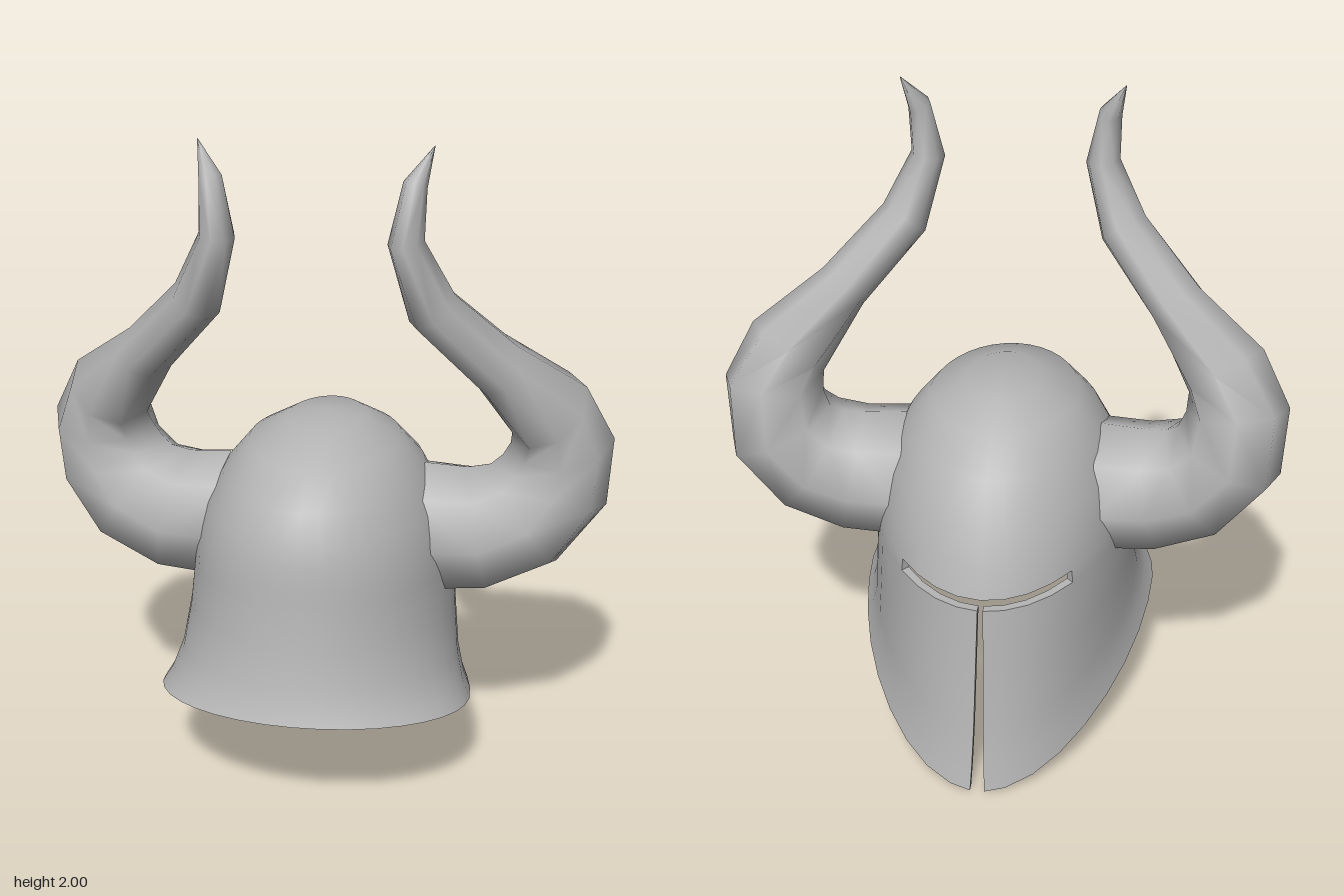
import * as THREE from 'three';
import { toCreasedNormals } from 'three/addons/utils/BufferGeometryUtils.js';

const steel = new THREE.MeshStandardMaterial({ color: 0xb4b4b4 });
steel.name = 'grey steel';

function makeMesh(name, positions, index, crease) {
  const geo = new THREE.BufferGeometry();
  geo.setAttribute('position', new THREE.Float32BufferAttribute(positions, 3));
  geo.setIndex(index);
  const mesh = new THREE.Mesh(toCreasedNormals(geo, crease), steel);
  mesh.name = name;
  return mesh;
}

// Helmet rings, crown to rim: y at nape, y at face, z at nape, z at face, half width, z of widest point
const RINGS = [
  [1.135, 1.135, 0, 0, 0, 0],
  [1.12, 1.12, 0.18, -0.16, 0.12, 0],
  [1.06, 1.06, 0.37, -0.27, 0.235, 0.02],
  [0.97, 0.97, 0.465, -0.385, 0.31, 0.02],
  [0.88, 0.84, 0.51, -0.46, 0.365, 0.02],
  [0.82, 0.74, 0.525, -0.505, 0.388, 0.02],
  [0.76, 0.645, 0.535, -0.535, 0.403, 0.03],
  [0.71, 0.61, 0.54, -0.54, 0.408, 0.03],
  [0.57, 0.42, 0.56, -0.56, 0.42, 0.06],
  [0.46, 0.2, 0.585, -0.59, 0.437, 0.12],
  [0.39, 0.08, 0.607, -0.612, 0.462, 0.18],
  [0.355, 0, 0.622, -0.63, 0.487, 0.22],
];
const COLS = 36, SLIT_ROW = 6, SLIT_COLS = 4, THICK = 0.028;

// Point on the shell; inset 0 is the outer skin, THICK the inner one
function shellPoint(i, j, inset) {
  const [yB, yF, zB, zF, w, c] = RINGS[i];
  const a = (j / COLS) * Math.PI * 2, cos = Math.cos(a);
  const shrink = i === 0 ? 0 : inset;
  // The face half is slightly keeled, the nape half is round
  const unit = cos > 0 ? -Math.pow(cos, 1.14) : -cos;
  const z = c + unit * (cos > 0 ? c - zF - shrink : zB - shrink - c);
  let x = (w - shrink) * Math.sin(a);
  if (i > SLIT_ROW && j % COLS === 0) { // narrow gap down the face
    const g = 0.008 + 0.014 * (i - SLIT_ROW - 1) / 4;
    x = j === 0 ? g : -g;
  }
  // Rings drop gently along the sides, then steeply towards the chin
  const k = i === 0 ? 0 : (zB - shrink - z) / (zB - zF - 2 * shrink);
  const y = yB - (yB - yF) * (0.68 * k + 0.32 * Math.pow(k, 5));
  return [x, y - inset * Math.max(0, (y - 0.8) / 0.335), z];
}

function makeHelmet() {
  const positions = [], index = [], edges = new Map();
  const stride = COLS + 1, inner = RINGS.length * stride;
  for (const inset of [0, THICK])
    for (let i = 0; i < RINGS.length; i++)
      for (let j = 0; j <= COLS; j++) positions.push(...shellPoint(i, j, inset));
  // The ring closes above the face gap, and the crown is a single point
  const id = (i, j) => i === 0 ? 0 : i * stride + (i <= SLIT_ROW ? j % COLS : j);

  for (let i = 0; i < RINGS.length - 1; i++)
    for (let j = 0; j < COLS; j++) {
      if (i === SLIT_ROW && (j < SLIT_COLS || j >= COLS - SLIT_COLS)) continue; // eye slit
      const a = id(i, j), b = id(i, j + 1), c = id(i + 1, j + 1), d = id(i + 1, j);
      const loop = i === 0 ? [a, c, d] : [a, b, c, d];
      for (let n = 1; n < loop.length - 1; n++) {
        index.push(loop[0], loop[n], loop[n + 1]);
        index.push(loop[0] + inner, loop[n + 1] + inner, loop[n] + inner);
      }
      loop.forEach((p, n) => {
        const q = loop[(n + 1) % loop.length];
        edges.set(p + '_' + q, [p, q]);
      });
    }
  // Walls join both skins along the rim, slit and gap
  for (const [p, q] of edges.values())
    if (!edges.has(q + '_' + p))
      index.push(q, p, p + inner, q, p + inner, q + inner);
  return makeMesh('helmetShell', positions, index, 0.8);
}

// Horn sections from root to tip: x, y, z, radius front to back, radius across
const HORN = [
  [0.36, 0.77, 0.005, 0.24, 0.205],
  [0.48, 0.77, 0, 0.228, 0.2],
  [0.62, 0.82, -0.015, 0.212, 0.19],
  [0.71, 0.93, -0.035, 0.197, 0.178],
  [0.728, 1.065, -0.02, 0.178, 0.158],
  [0.685, 1.175, 0.02, 0.158, 0.135],
  [0.525, 1.345, 0.125, 0.135, 0.085],
  [0.345, 1.54, 0.24, 0.095, 0.078],
  [0.272, 1.74, 0.285, 0.078, 0.053],
  [0.293, 1.9, 0.262, 0.047, 0.035],
  [0.34, 2.0, 0.21, 0.001, 0.001],
];
const SIDES = 8;

function makeHorn(name, mirror) {
  const positions = [], index = [];
  const centres = HORN.map(s => new THREE.Vector3(s[0], s[1], s[2]));
  centres.forEach((centre, i) => {
    const ahead = centres[Math.min(i + 1, HORN.length - 1)];
    const behind = centres[Math.max(i - 1, 0)];
    const t = ahead.clone().sub(behind).normalize();
    if (i === 0) t.set(1, 0, 0);
    const u = new THREE.Vector3(0, 0, 1).addScaledVector(t, -t.z).normalize();
    const v = t.clone().cross(u);
    const [, , , ru, rv] = HORN[i];
    for (let j = 0; j < SIDES; j++) {
      const a = (j / SIDES) * Math.PI * 2;
      const p = centre.clone().addScaledVector(u, ru * Math.cos(a)).addScaledVector(v, rv * Math.sin(a));
      // The root follows the curve of the helmet side
      if (i === 0) p.x -= (p.y - 0.77) * 0.25 + p.z * p.z * 0.9;
      positions.push(p.x * mirror, p.y, p.z);
    }
  });
  const tri = (a, b, c) => mirror > 0 ? index.push(a, b, c) : index.push(a, c, b);
  for (let i = 0; i < HORN.length - 1; i++)
    for (let j = 0; j < SIDES; j++) {
      const k = (j + 1) % SIDES;
      const a = i * SIDES + j, b = i * SIDES + k;
      tri(a, b, b + SIDES);
      tri(a, b + SIDES, a + SIDES);
    }
  return makeMesh(name, positions, index, 1.2);
}

export function createModel() {
  const model = new THREE.Group();
  model.name = 'hornedHelmet';
  model.add(makeHelmet(), makeHorn('leftHorn', 1), makeHorn('rightHorn', -1));
  return model;
}
